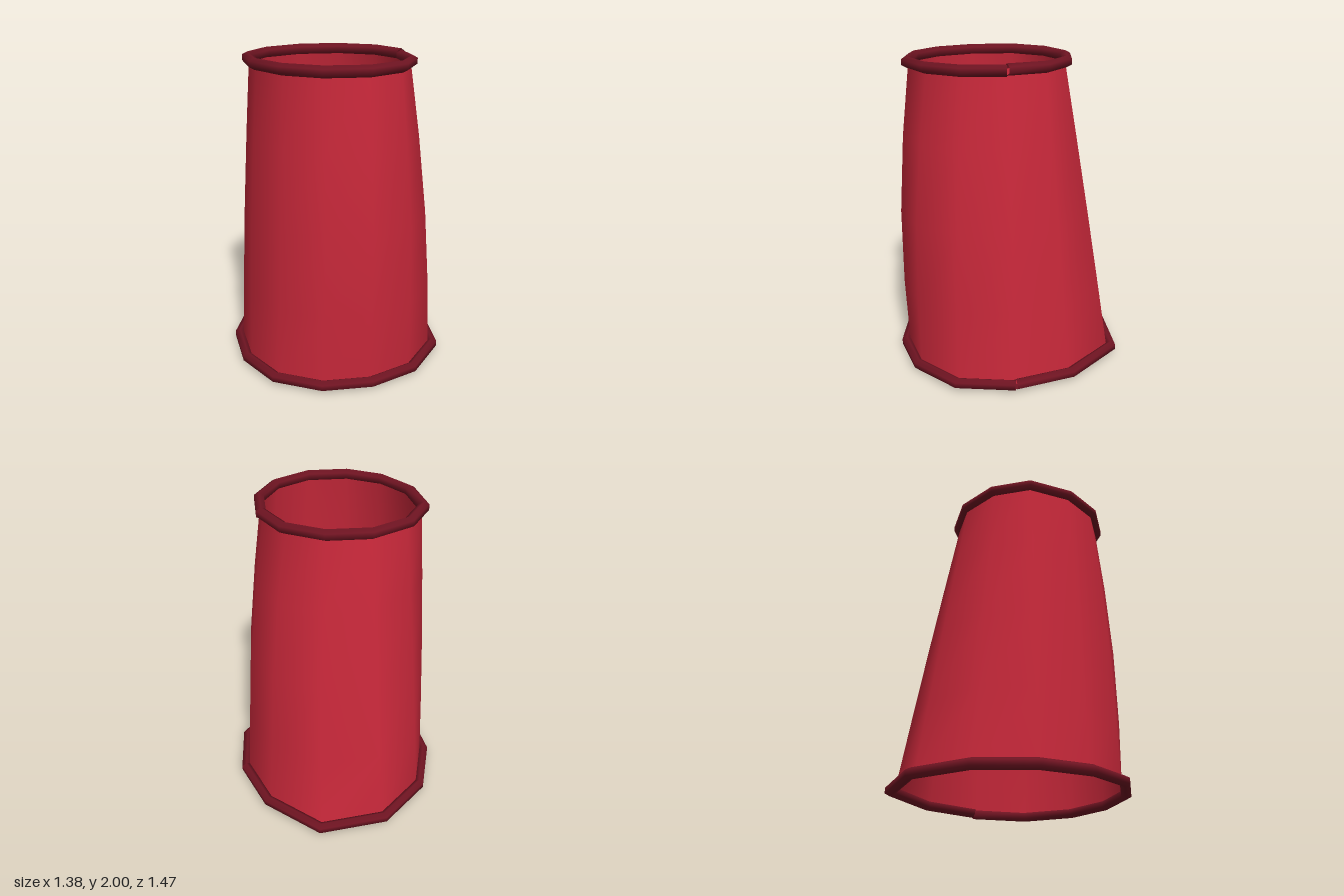
import * as THREE from 'three';

// Outlines [x, z], running from the +x seam round the back
const HEM = [[.66, .11], [.615, -.27], [.375, -.635], [-.05, -.705], [-.41, -.52], [-.61, -.21],
  [-.66, .11], [-.575, .41], [-.345, .62], [-.05, .705], [.265, .665], [.545, .46]];
const CUFF = [[.435, .11], [.385, -.14], [.2, -.325], [-.05, -.4], [-.31, -.34], [-.495, -.17],
  [-.545, .11], [-.47, .365], [-.3, .545], [-.05, .62], [.2, .545], [.37, .36]];

// Smooth surface over a grid of points; either direction may wrap round
function gridSurface(rows, wrapRows, wrapCols) {
  const n = rows.length, m = rows[0].length, index = [];
  for (let i = 0; i < (wrapRows ? n : n - 1); i++) {
    for (let j = 0; j < (wrapCols ? m : m - 1); j++) {
      const i2 = (i + 1) % n, j2 = (j + 1) % m;
      const a = i * m + j, b = i2 * m + j, c = i2 * m + j2, d = i * m + j2;
      index.push(a, b, c, a, c, d);
    }
  }
  const g = new THREE.BufferGeometry();
  g.setAttribute('position', new THREE.Float32BufferAttribute(rows.flat(2), 3));
  g.setIndex(index);
  g.computeVertexNormals();
  return g;
}

// Fabric tube: blends hem to cuff, with a fuller front and sides
function sleeveGeometry() {
  const levels = [0.03, 0.5, 1, 1.5, 1.97];
  const rows = HEM.map(([hx, hz], i) => {
    const [cx, cz] = CUFF[i];
    const angle = (i / HEM.length) * Math.PI * 2;
    const c = Math.cos(angle), s = -Math.sin(angle);
    return levels.map((y) => {
      const t = (y - 0.03) / 1.94, swell = Math.sin(Math.PI * t);
      const inset = 0.025 * (1 - t) + 0.012 * t;
      const x = hx + (cx - hx) * t + c * (swell * (c > 0 ? 0.028 : 0.012) - inset);
      const z = hz + (cz - hz) * t + s * (swell * (s > 0 ? 0.055 : 0) - inset);
      return [x, y, z];
    });
  });
  return gridSurface(rows, true, false);
}

// Six-sided piping with mitred corners and a slightly offset open seam
function pipingGeometry(outline, y) {
  const path = [...outline, outline[0]].map(([x, z]) => new THREE.Vector2(x, z));
  const last = path.length - 1;
  const outward = (i) => {
    const d = path[i + 1].clone().sub(path[i]).normalize();
    return new THREE.Vector2(-d.y, d.x);
  };
  const rows = path.map((p, i) => {
    const n0 = outward(Math.max(i - 1, 0)), n1 = outward(Math.min(i, last - 1));
    const n = n0.clone().add(n1).normalize();
    n.divideScalar(n.dot(n1));
    const lift = 0.004 - 0.008 * i / last;
    return Array.from({ length: 6 }, (_, k) => {
      const a = (k + 0.5) * Math.PI / 3;
      const r = 0.035 * Math.cos(a);
      return [p.x + n.x * r, y + lift + 0.035 * Math.sin(a), p.y + n.y * r];
    });
  });
  return gridSurface(rows, false, true);
}

export function createModel() {
  const group = new THREE.Group();
  group.name = 'sleeve';
  const fabric = new THREE.MeshStandardMaterial({ color: 0xc8283a, side: THREE.DoubleSide });
  const trim = new THREE.MeshStandardMaterial({ color: 0x701422, side: THREE.DoubleSide });
  const add = (name, geometry, material) => {
    const mesh = new THREE.Mesh(geometry, material);
    mesh.name = name;
    group.add(mesh);
  };
  add('fabricTube', sleeveGeometry(), fabric);
  add('bottomPiping', pipingGeometry(HEM, 0.041), trim);
  add('topPiping', pipingGeometry(CUFF, 1.961), trim);
  return group;
}
